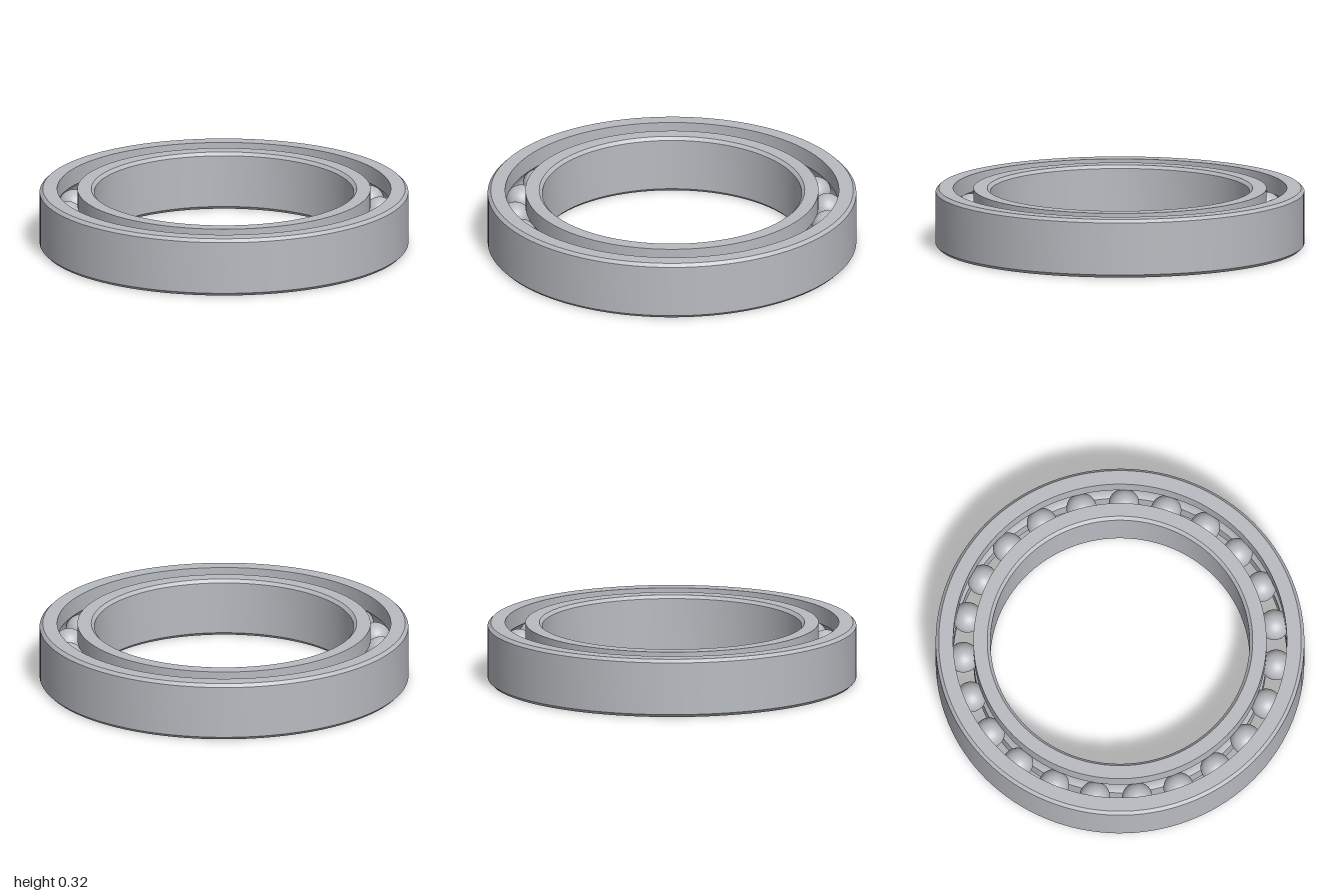
import * as THREE from 'three';
import { toCreasedNormals } from 'three/addons/utils/BufferGeometryUtils.js';

const HEIGHT = 0.32, MID = HEIGHT / 2, CHAMFER = 0.017;
const PITCH = 0.85, BALL = 0.083, BALLS = 23;
const GROOVE = 0.085, HALF_GAP = 0.055;

// Ring cross-section; side is +1 for the outer ring, -1 for the inner one
function ringGeometry(wall, side) {
  const track = PITCH + side * HALF_GAP;
  const edge = wall - side * CHAMFER;
  const points = [
    [track, 0], [edge, 0], [wall, CHAMFER],
    [wall, HEIGHT - CHAMFER], [edge, HEIGHT], [track, HEIGHT],
  ].map(([r, y]) => new THREE.Vector2(r, y));
  // Ball groove, from top to bottom
  const limit = Math.acos(HALF_GAP / GROOVE);
  for (let i = 0; i <= 12; i++) {
    const a = limit * (1 - i / 6);
    points.push(new THREE.Vector2(PITCH + side * GROOVE * Math.cos(a), MID + GROOVE * Math.sin(a)));
  }
  points.push(points[0].clone());
  if (side < 0) points.reverse();
  return toCreasedNormals(new THREE.LatheGeometry(points, 128), 0.5);
}

export function createModel() {
  const model = new THREE.Group();
  model.name = 'ballBearing';
  const steel = new THREE.MeshStandardMaterial({ color: 0xb8bbc0 });
  steel.name = 'steel';

  const add = (parent, name, geometry) => {
    const mesh = new THREE.Mesh(geometry, steel);
    mesh.name = name;
    parent.add(mesh);
    return mesh;
  };

  // Outer and inner races
  add(model, 'outerRing', ringGeometry(1, 1));
  add(model, 'innerRing', ringGeometry(0.703, -1));

  // Balls evenly spaced between the races
  const balls = new THREE.Group();
  balls.name = 'balls';
  model.add(balls);
  const sphere = new THREE.SphereGeometry(BALL, 32, 20);
  for (let i = 0; i < BALLS; i++) {
    const a = (i / BALLS) * Math.PI * 2;
    add(balls, `ball${i + 1}`, sphere).position.set(PITCH * Math.cos(a), MID, PITCH * Math.sin(a));
  }
  return model;
}
